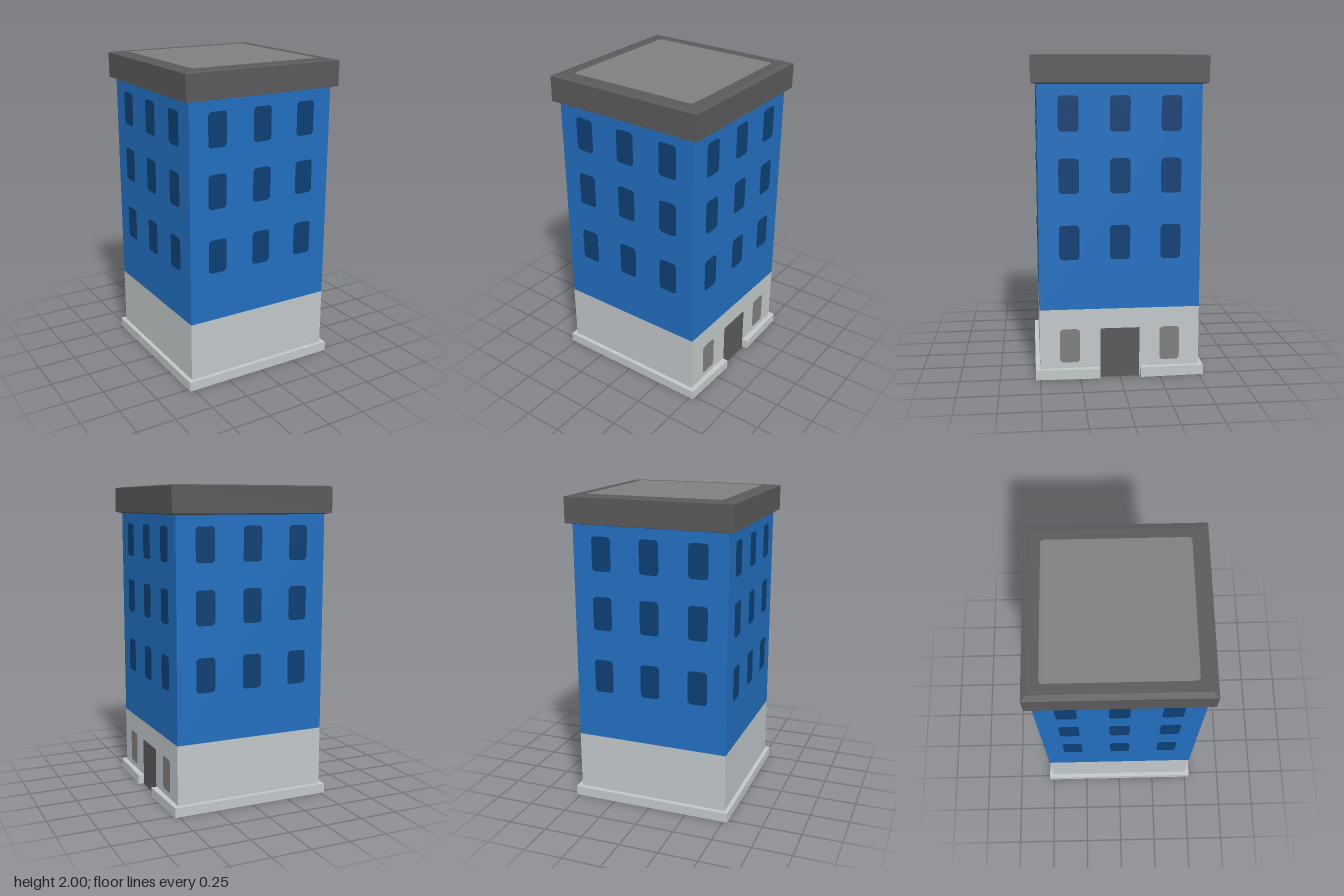
import * as THREE from 'three';

const mat = (name, color, extra = {}) => {
  const m = new THREE.MeshStandardMaterial({ color, ...extra });
  m.name = name;
  return m;
};

// Rectangle with small corner cuts, centred on the origin
function softRect(w, h, r) {
  const s = new THREE.Shape(), x = w / 2, y = h / 2;
  s.moveTo(-x + r, -y);
  s.lineTo(x - r, -y);
  s.quadraticCurveTo(x, -y, x, -y + r);
  s.lineTo(x, y - r);
  s.quadraticCurveTo(x, y, x - r, y);
  s.lineTo(-x + r, y);
  s.quadraticCurveTo(-x, y, -x, y - r);
  s.lineTo(-x, -y + r);
  s.quadraticCurveTo(-x, -y, -x + r, -y);
  return new THREE.ShapeGeometry(s, 4);
}

export function createModel() {
  const blue = mat('wallBlue', 0x226fc0);
  const navy = mat('windowNavy', 0x0d3f74);
  const stone = mat('stoneGrey', 0xc1c7c9);
  const dark = mat('roofDarkGrey', 0x5a595b);
  const mid = mat('midGrey', 0x7f7f80);

  const model = new THREE.Group();
  model.name = 'towerBlock';
  const cx = -0.003, half = 0.5, split = 0.44, top = 1.83;

  const add = (parent, name, geo, material, x = 0, y = 0, z = 0) => {
    const m = new THREE.Mesh(geo, material);
    m.name = name;
    m.position.set(x, y, z);
    parent.add(m);
    return m;
  };

  // Walls
  add(model, 'groundFloor', new THREE.BoxGeometry(1, split, 1), stone, cx, split / 2, 0);
  add(model, 'upperFloors', new THREE.BoxGeometry(1, top - split, 1), blue, cx, (split + top) / 2, 0);

  // Plinth, notched at the door and flaring slightly towards it
  const plinth = new THREE.Shape([
    [-0.53, -0.528], [0.526, -0.528], [0.537, -0.128], [0.49, -0.128],
    [0.49, 0.128], [0.537, 0.128], [0.526, 0.528], [-0.53, 0.528],
  ].map(([x, z]) => new THREE.Vector2(x, z)));
  const plinthGeo = new THREE.ExtrudeGeometry(plinth, { depth: 0.062, bevelEnabled: false });
  plinthGeo.rotateX(-Math.PI / 2);
  add(model, 'plinth', plinthGeo, stone);

  // Windows on all four sides
  const pane = softRect(0.125, 0.215, 0.026);
  const columns = [-0.313, 0, 0.313];
  const face = half + 0.003;
  ['front', 'right', 'back', 'left'].forEach((side, i) => {
    const g = new THREE.Group();
    g.name = side === 'right' ? 'doorSide' : side + 'Windows';
    g.position.x = cx;
    g.rotation.y = i * Math.PI / 2;
    for (const y of [0.862, 1.272, 1.648])
      for (const x of columns) add(g, 'window', pane, navy, x, y, face);
    // Entrance with a window on each side
    if (i === 1) {
      for (const x of [columns[0], columns[2]]) add(g, 'groundWindow', pane, mid, x, 0.207, face);
      add(g, 'door', new THREE.PlaneGeometry(0.245, 0.314), dark, 0, 0.157, face);
    }
    model.add(g);
  });

  // Overhanging roof slab with shallow sloped edges
  const k = Math.SQRT2;
  const profile = [[0, 1.822], [0.5, 1.822], [0.535, 1.83], [0.535, 1.99], [0.5, 1.997], [0, 1.997]]
    .map(([r, y]) => new THREE.Vector2(r * k, y));
  const roofGeo = new THREE.LatheGeometry(profile, 4, Math.PI / 4).toNonIndexed();
  roofGeo.computeVertexNormals();
  add(model, 'roof', roofGeo, dark, cx, 0, 0);

  // Lighter roof deck
  const deck = softRect(0.874, 0.874, 0.026);
  deck.rotateX(-Math.PI / 2);
  add(model, 'roofDeck', deck, mid, cx, 2, 0);

  return model;
}
